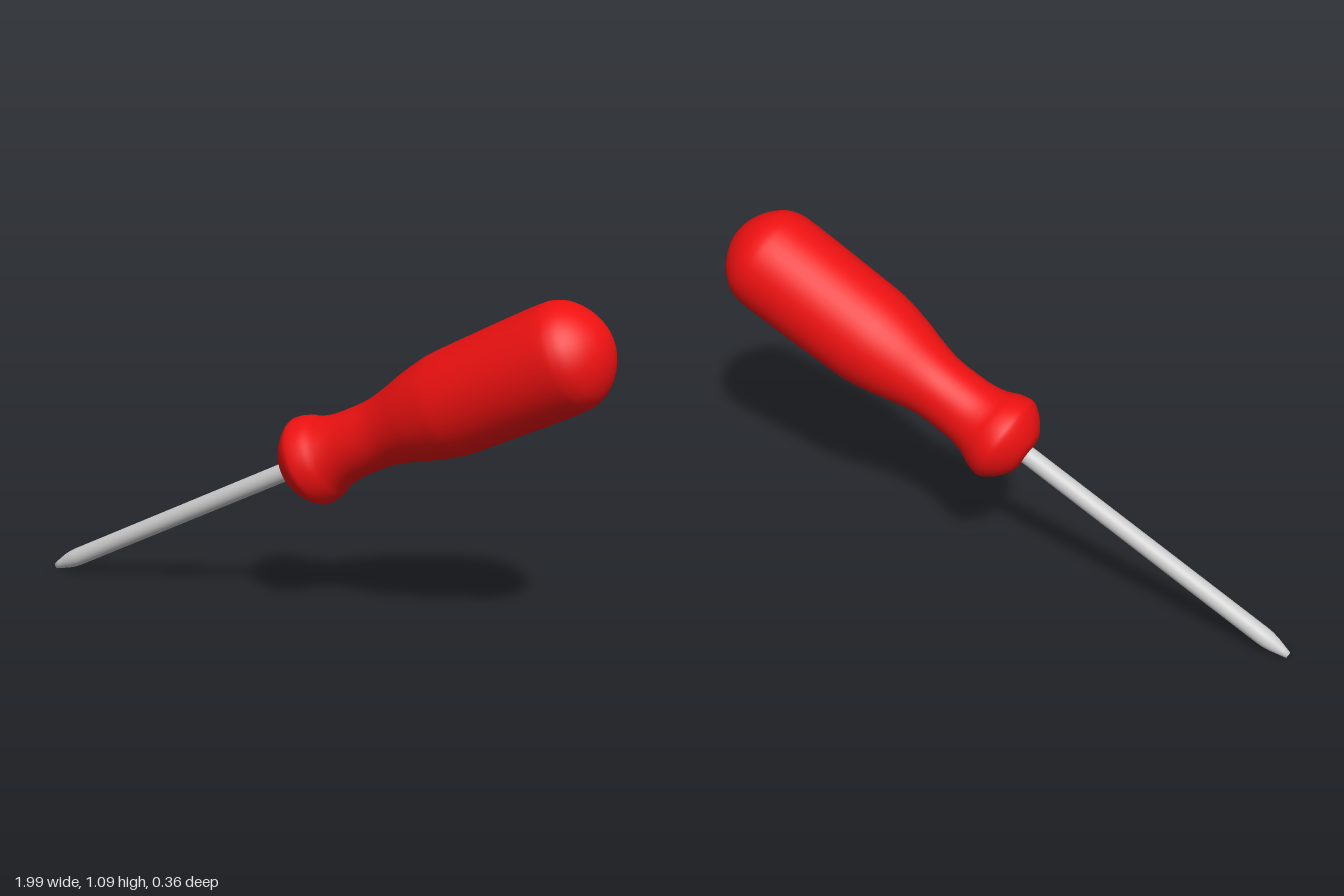
import * as THREE from 'three';

// Revolve a [radius, distance from tip] profile around the tool's long axis
function turned(name, profile, color, samples) {
  let points = profile.map(([r, t]) => new THREE.Vector2(r, t));
  if (samples) points = new THREE.SplineCurve(points).getPoints(samples);
  points.forEach((p) => { p.x = Math.max(p.x, 0); });
  const mesh = new THREE.Mesh(
    new THREE.LatheGeometry(points, 40),
    new THREE.MeshStandardMaterial({ color })
  );
  mesh.name = name;
  return mesh;
}

export function createModel() {
  const model = new THREE.Group();
  model.name = 'screwdriver';

  // Steel shaft running up into the handle
  const shaft = turned('shaft', [[0.03, 0.1], [0.03, 1.12]], 0xcccccc);

  // Tapered blunt tip
  const tip = turned('tip', [
    [0, 0], [0.011, 0], [0.016, 0.02], [0.025, 0.055], [0.029, 0.08], [0.03, 0.1],
  ], 0xcccccc);

  // Handle: flared collar, narrow waist, thick grip and rounded end
  const handle = turned('handle', [
    [0, 1.026], [0.05, 1.03], [0.082, 1.041], [0.118, 1.07], [0.144, 1.105],
    [0.147, 1.13], [0.138, 1.165], [0.122, 1.2], [0.111, 1.25], [0.108, 1.32],
    [0.11, 1.39], [0.124, 1.46], [0.143, 1.53], [0.158, 1.6], [0.166, 1.66],
    [0.17, 1.8], [0.173, 1.95], [0.173, 2.05], [0.167, 2.09], [0.15, 2.125],
    [0.115, 2.162], [0.07, 2.19], [0.03, 2.203], [0, 2.206],
  ], 0xee1111, 96);

  // Lean the whole tool so the tip rests on the ground and the grip rises
  const tool = new THREE.Group();
  tool.name = 'tool';
  tool.add(shaft, tip, handle);
  const axis = new THREE.Vector3(0.894, 0.447, 0.041).normalize();
  tool.quaternion.setFromUnitVectors(new THREE.Vector3(0, 1, 0), axis);
  tool.position.set(-0.995, 0.014, -0.077);
  model.add(tool);
  return model;
}
